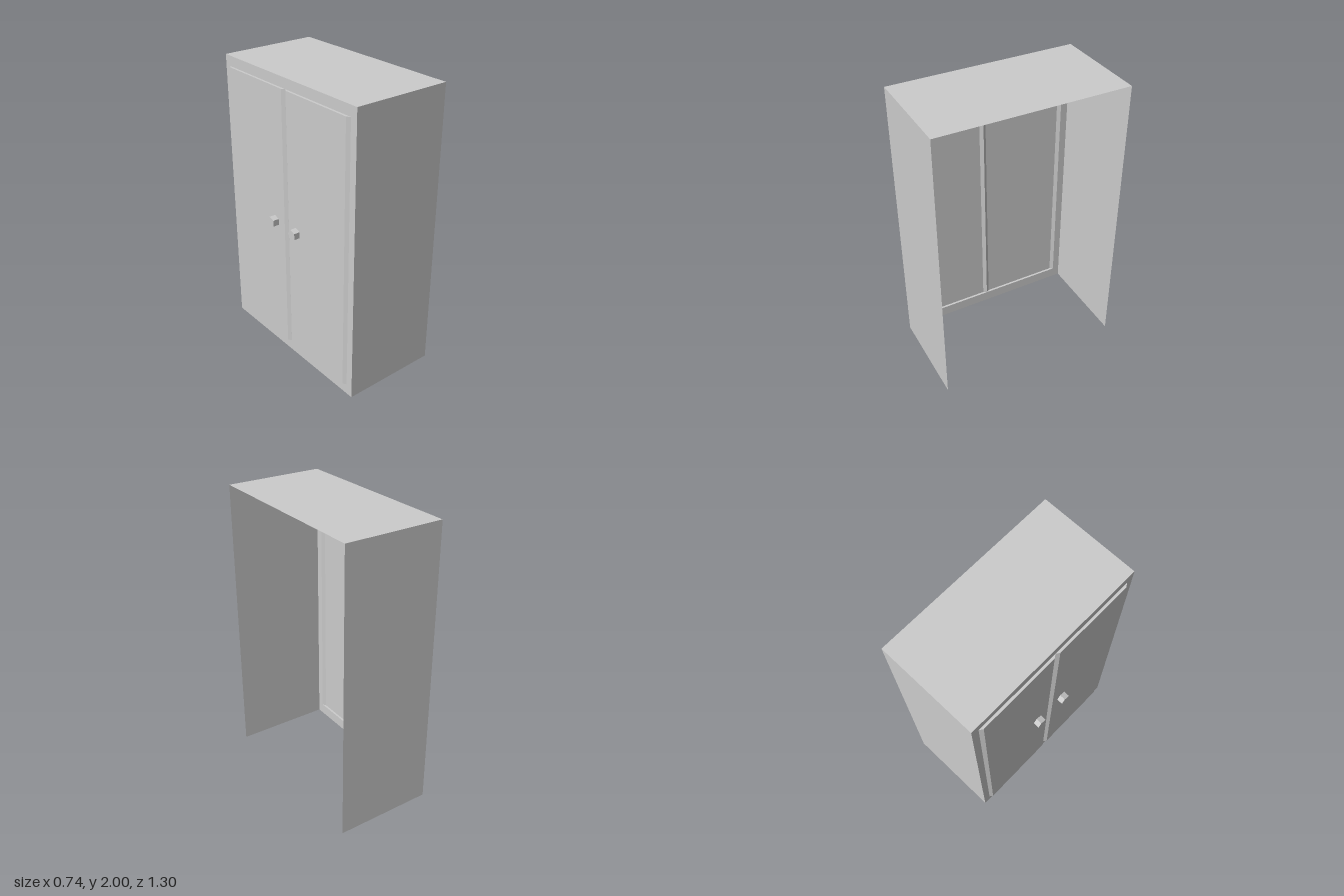
import * as THREE from 'three';

const HEIGHT = 2, WIDTH = 1.3, BACK = 0.371, FRONT = -0.312;
const DEPTH = BACK - FRONT, MID = (BACK + FRONT) / 2;
const DOOR_LOW = 0.075, DOOR_HIGH = 1.93, DOOR_EDGE = 0.6, RAISE = 0.016, BEVEL = 0.023;

const material = new THREE.MeshStandardMaterial({
  color: 0xcccccc, flatShading: true, side: THREE.DoubleSide,
});

function add(parent, name, geometry) {
  const mesh = new THREE.Mesh(geometry, material);
  mesh.name = name;
  parent.add(mesh);
  return mesh;
}

// Hollow raised door: slanted upright edges, straight top and bottom, open behind
function doorGeometry(u0, u1) {
  const ring = [[u0, 0], [u0 + BEVEL, RAISE], [u1 - BEVEL, RAISE], [u1, 0]];
  const points = [];
  for (const v of [DOOR_LOW, DOOR_HIGH]) for (const [u, w] of ring) points.push(u, v, w);
  const index = [];
  for (let i = 0; i < 3; i++) index.push(i, i + 1, i + 5, i, i + 5, i + 4);
  index.push(0, 2, 1, 0, 3, 2, 4, 5, 6, 4, 6, 7);
  const indexed = new THREE.BufferGeometry();
  indexed.setAttribute('position', new THREE.Float32BufferAttribute(points, 3));
  indexed.setIndex(index);
  const geometry = indexed.toNonIndexed();
  geometry.computeVertexNormals();
  return geometry;
}

export function createModel() {
  const wardrobe = new THREE.Group();
  wardrobe.name = 'wardrobe';

  // Thin shell: top and two sides, with no floor and no back
  add(wardrobe, 'top', new THREE.PlaneGeometry(DEPTH, WIDTH).rotateX(-Math.PI / 2))
    .position.set(MID, HEIGHT, 0);
  for (const side of [1, -1]) {
    const panel = add(wardrobe, side > 0 ? 'sidePanelA' : 'sidePanelB',
      new THREE.PlaneGeometry(DEPTH, HEIGHT));
    panel.position.set(MID, HEIGHT / 2, side * WIDTH / 2);
    if (side < 0) panel.rotation.y = Math.PI;
  }

  // Door side, built facing local +z and turned to face -x
  const doorSide = new THREE.Group();
  doorSide.name = 'doorSide';
  doorSide.position.x = FRONT;
  doorSide.rotation.y = -Math.PI / 2;
  wardrobe.add(doorSide);

  // Surround with one opening for both doors
  const outline = (u, low, high) => [[-u, low], [u, low], [u, high], [-u, high]]
    .map(([x, y]) => new THREE.Vector2(x, y));
  const frame = new THREE.Shape(outline(WIDTH / 2, 0, HEIGHT));
  frame.holes.push(new THREE.Path(outline(DOOR_EDGE, DOOR_LOW, DOOR_HIGH).reverse()));
  add(doorSide, 'frame', new THREE.ShapeGeometry(frame));

  add(doorSide, 'doorA', doorGeometry(0, DOOR_EDGE));
  add(doorSide, 'doorB', doorGeometry(-DOOR_EDGE, 0));

  // Five-sided knobs, both pointing the same way
  const knob = new THREE.CylinderGeometry(0.037, 0.037, 0.043, 5)
    .rotateX(Math.PI / 2).rotateZ(-Math.PI / 2);
  add(doorSide, 'knobA', knob).position.set(0.108, 1, RAISE + 0.0215);
  add(doorSide, 'knobB', knob).position.set(-0.12, 1, RAISE + 0.0215);

  return wardrobe;
}
